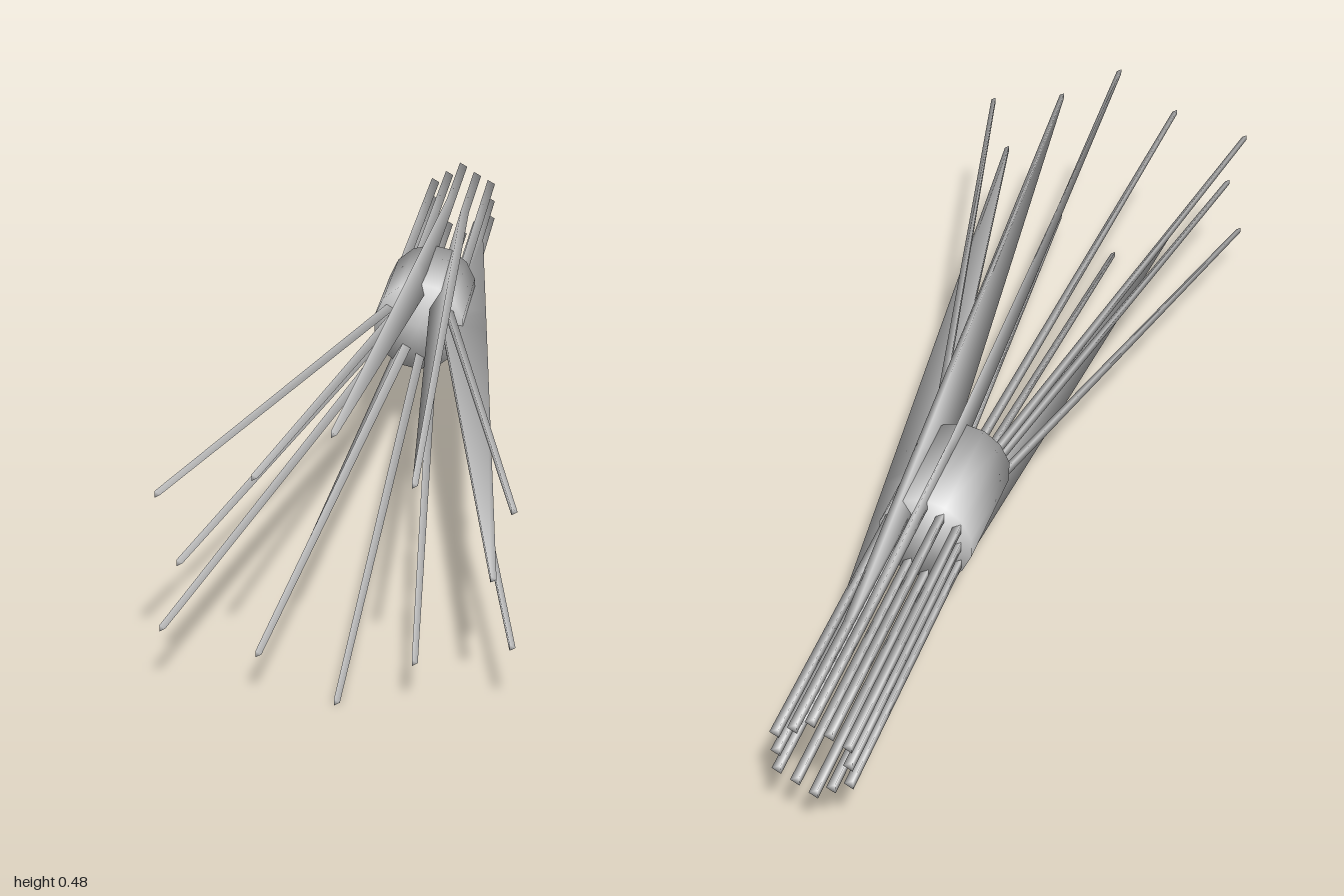
import * as THREE from 'three';
import { mergeVertices } from 'three/addons/utils/BufferGeometryUtils.js';

const CX = -0.002, CY = 0.245;
const mat = new THREE.MeshStandardMaterial({ color: 0xcccccc });

// Smooth normals over all shared corners, weighted by corner angle
function smooth(geo) {
  const pos = geo.attributes.position, idx = geo.index.array;
  const at = i => new THREE.Vector3().fromBufferAttribute(pos, i);
  const sums = Array.from({ length: pos.count }, () => new THREE.Vector3());
  for (let t = 0; t < idx.length; t += 3) {
    const p = [0, 1, 2].map(k => at(idx[t + k]));
    const n = p[1].clone().sub(p[0]).cross(p[2].clone().sub(p[0])).normalize();
    for (let k = 0; k < 3; k++) {
      const u = p[(k + 1) % 3].clone().sub(p[k]), v = p[(k + 2) % 3].clone().sub(p[k]);
      sums[idx[t + k]].addScaledVector(n, u.angleTo(v));
    }
  }
  const normals = sums.flatMap(s => s.normalize().toArray());
  geo.setAttribute('normal', new THREE.Float32BufferAttribute(normals, 3));
  return geo;
}

// Capped three-sided tube through a list of rings (three corners each, front to back)
function loft(rings) {
  const index = [0, 1, 2], last = (rings.length - 1) * 3;
  for (let i = 0; i < last; i += 3) for (let k = 0; k < 3; k++) {
    const a = i + k, b = i + (k + 1) % 3;
    index.push(a, a + 3, b, b, a + 3, b + 3);
  }
  index.push(last, last + 2, last + 1);
  const geo = new THREE.BufferGeometry();
  geo.setAttribute('position', new THREE.Float32BufferAttribute(rings.flat().flatMap(p => p.toArray()), 3));
  geo.setIndex(index);
  return smooth(geo);
}

// Triangular ring with one corner towards +x
function ring(x, y, z, r) {
  return [0, 1, 2].map(k => {
    const a = k * Math.PI * 2 / 3;
    return new THREE.Vector3(CX + x + r * Math.cos(a), CY + y + r * Math.sin(a), z);
  });
}

export function createModel() {
  const group = new THREE.Group();
  group.name = 'rodBundle';

  // Collar gripping the rods, shaded softly over its rims
  const drum = new THREE.CylinderGeometry(0.091, 0.091, 0.245, 14).rotateX(Math.PI / 2);
  drum.deleteAttribute('normal');
  drum.deleteAttribute('uv');
  const collar = new THREE.Mesh(smooth(mergeVertices(drum)), mat);
  collar.position.set(CX, CY, -0.272);
  collar.name = 'collar';
  group.add(collar);

  // One quadrant of rods: offsets at the tip, at the collar and at the back
  const quadrant = [
    { tip: [0, 0.236], bend: [0, 0.066], back: [0, 0.08] },
    { tip: [0.128, 0.156], bend: [0.027, 0.047], back: [0.032, 0.059] },
    { tip: [0.286, 0.119], bend: [0.059, 0.035], back: [0.064, 0.041] },
    { tip: [0.254, 0], bend: [0.053, 0], back: [0.064, 0] },
  ];
  // Rods with a web: quadrant index and mirror signs, then the corners drawn outward
  const webs = { '0,1,1': [1], '1,1,1': [0, 1], '3,1,1': [0], '1,-1,-1': [2] };

  quadrant.forEach((q, i) => {
    for (const sx of q.tip[0] ? [1, -1] : [1]) for (const sy of q.tip[1] ? [1, -1] : [1]) {
      const at = (p, z, r) => ring(p[0] * sx, p[1] * sy, z, r);
      // Splayed front run, bend inside the collar, straight back run
      const rings = [
        at(q.tip, 1, 0.0065), at(q.bend, -0.15, 0.011), at(q.back, -0.25, 0.011),
        at(q.back, -0.72, 0.011), at(q.back, -1, 0.011),
      ];
      // Web: the chosen corners run straight from the tip to the back run
      const corners = webs[`${i},${sx},${sy}`] ?? [];
      for (const k of corners) for (const j of [1, 2]) {
        const t = (1 - rings[j][k].z) / 1.72;
        rings[j][k].lerpVectors(rings[0][k], rings[3][k], t);
      }
      const rod = new THREE.Mesh(loft(rings), mat);
      rod.name = corners.length ? 'webbedRod' : 'rod';
      group.add(rod);
    }
  });
  return group;
}
